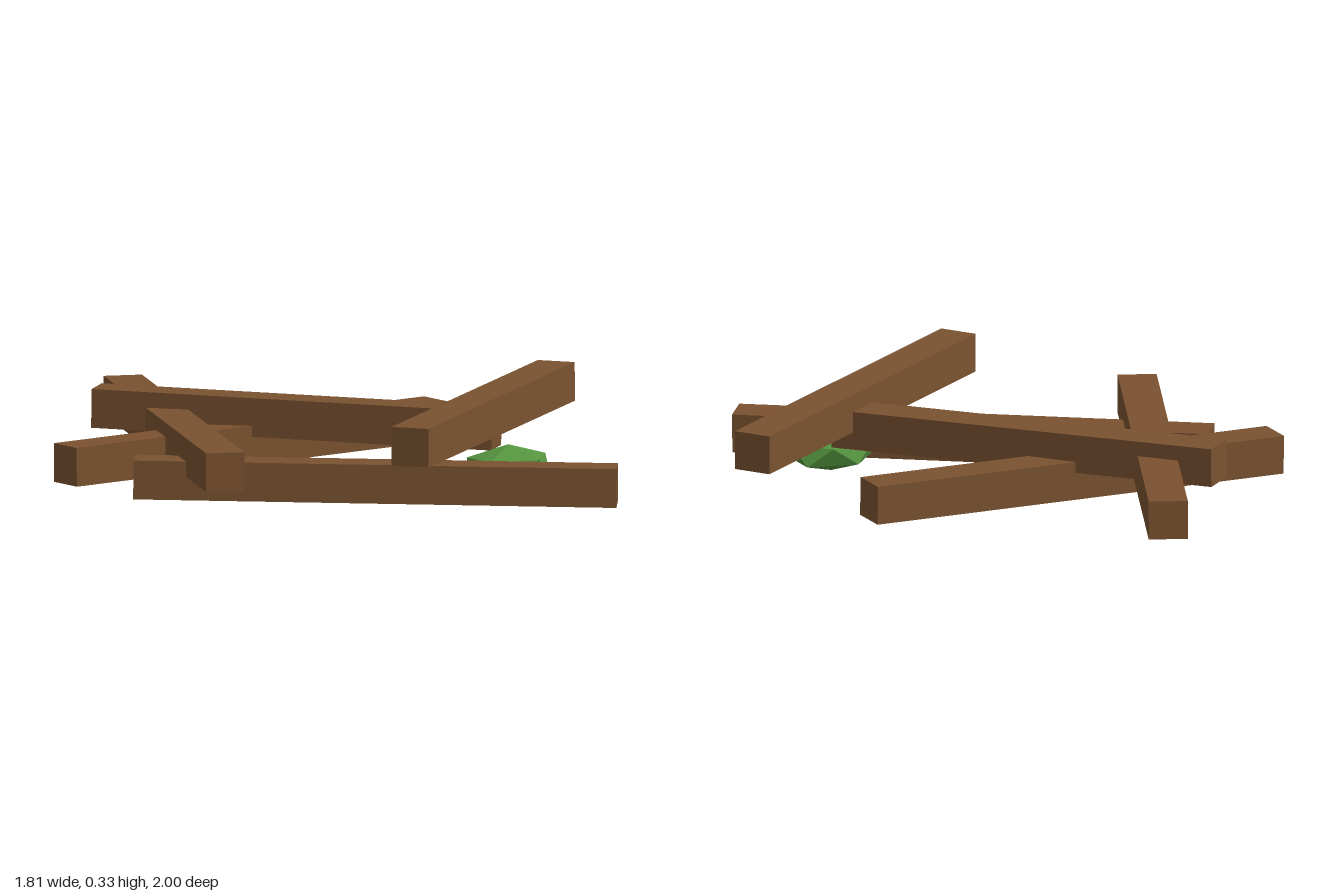
import * as THREE from 'three';
import { ConvexGeometry } from 'three/addons/geometries/ConvexGeometry.js';

const THICK = 0.128;

// Square timber running between the centres of its two end faces
function beam(name, a, b, material) {
  const start = new THREE.Vector3(...a);
  const end = new THREE.Vector3(...b);
  const mesh = new THREE.Mesh(new THREE.BoxGeometry(THICK, THICK, start.distanceTo(end)), material);
  mesh.name = name;
  mesh.position.copy(start).add(end).multiplyScalar(0.5);
  mesh.lookAt(end);
  return mesh;
}

// Twenty-sided lump with a corner pointing straight up
function lumpGeometry(rx, ry, rz) {
  const points = [new THREE.Vector3(0, ry, 0), new THREE.Vector3(0, -ry, 0)];
  for (let i = 0; i < 10; i++) {
    const angle = (i * Math.PI) / 5;
    const y = (i % 2 ? -0.43 : 0.43) * ry;
    points.push(new THREE.Vector3(rx * Math.cos(angle), y, rz * Math.sin(angle)));
  }
  return new ConvexGeometry(points);
}

export function createModel() {
  const group = new THREE.Group();
  group.name = 'fallenBeams';
  const wood = new THREE.MeshStandardMaterial({ color: 0x7a5230, flatShading: true });
  wood.name = 'brown wood';
  const green = new THREE.MeshStandardMaterial({ color: 0x559540, flatShading: true });
  green.name = 'leaf green';

  // Loosely stacked timbers, lowest first
  group.add(
    beam('frontLowBeam', [-0.775, 0.087, -0.01], [0.48, 0.067, 0.945], wood),
    beam('crossBeam', [-0.91, 0.114, -0.207], [0.57, 0.136, -0.207], wood),
    beam('leftBeam', [-0.137, 0.18, -0.975], [-0.733, 0.157, 0.445], wood),
    beam('diagonalBeam', [-0.51, 0.225, -0.597], [0.36, 0.202, 0.433], wood),
    beam('topBeam', [-0.29, 0.252, 0.862], [0.863, 0.268, 0.06], wood)
  );

  // Moss clump tucked under the top beam
  const moss = new THREE.Mesh(lumpGeometry(0.148, 0.073, 0.113), green);
  moss.name = 'mossClump';
  moss.position.set(0.342, 0.09, 0.525);
  group.add(moss);

  return group;
}
